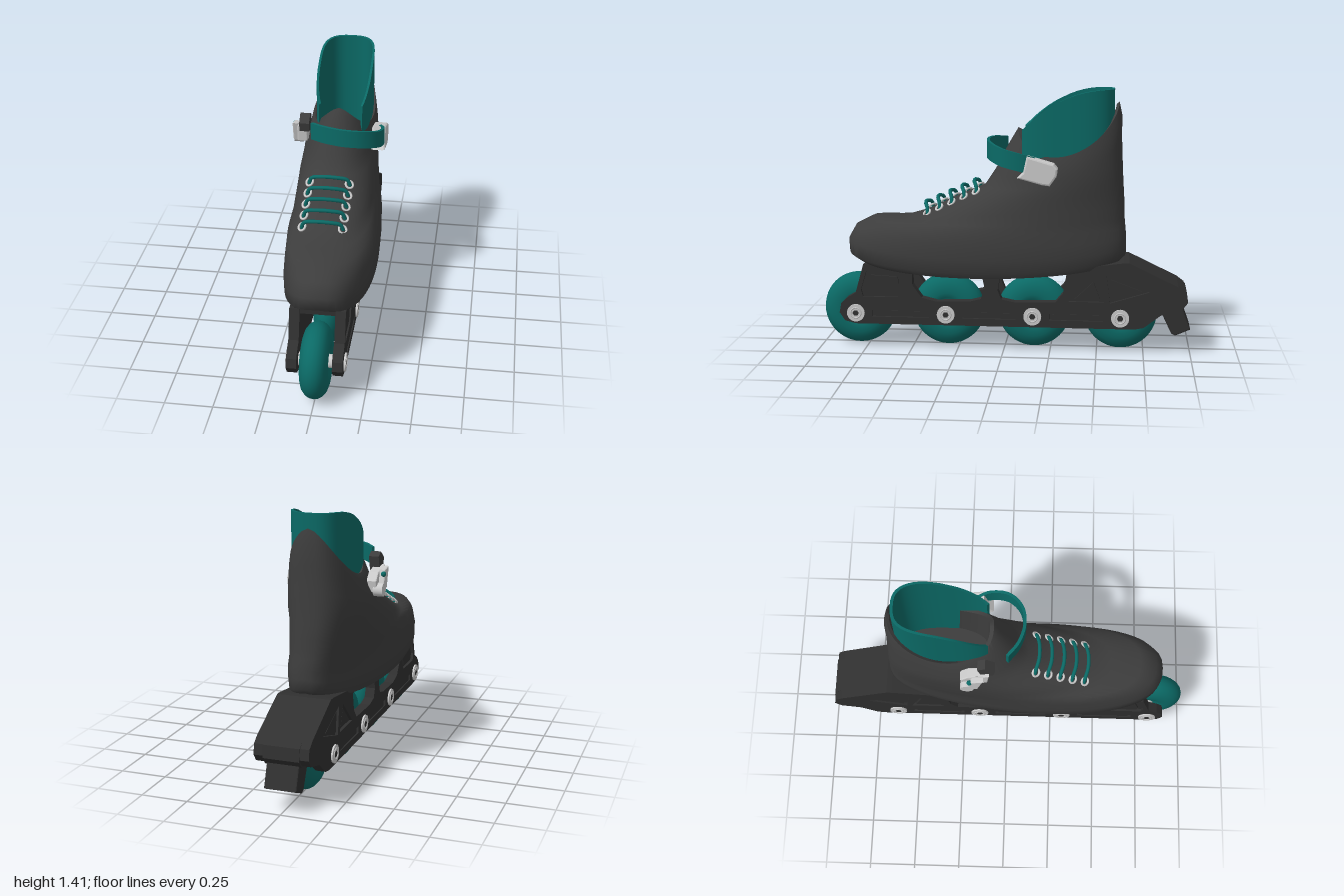
import * as THREE from 'three';
import { toCreasedNormals } from 'three/addons/utils/BufferGeometryUtils.js';

const mat = (color) => new THREE.MeshStandardMaterial({ color, side: THREE.DoubleSide });

// Skin a list of closed rings of points; optionally cap both ends with a fan.
function loft(rings, crease, cap = false) {
  const n = rings[0].length, pos = [], idx = [];
  rings.forEach((r) => r.forEach((p) => pos.push(...p)));
  for (let i = 0; i < rings.length - 1; i++) {
    for (let j = 0; j < n; j++) {
      const a = i * n + j, b = i * n + (j + 1) % n;
      idx.push(a, b, b + n, a, b + n, a + n);
    }
  }
  if (cap) {
    const e = (rings.length - 1) * n;
    for (let j = 1; j < n - 1; j++) idx.push(0, j + 1, j, e, e + j, e + j + 1);
  }
  const g = new THREE.BufferGeometry();
  g.setAttribute('position', new THREE.Float32BufferAttribute(pos, 3));
  g.setIndex(idx);
  return toCreasedNormals(g, crease);
}

// Extrude a side-view outline of [z, y] points from x0 to x1.
function sideExtrude(pts, x0, x1, holes = [], bevel = 0) {
  const v = (list) => list.map(([z, y]) => new THREE.Vector2(-z, y));
  const shape = new THREE.Shape(v(pts));
  holes.forEach((h) => shape.holes.push(new THREE.Path(v(h))));
  const g = new THREE.ExtrudeGeometry(shape, {
    depth: x1 - x0 - 2 * bevel, bevelEnabled: bevel > 0, bevelSize: bevel,
    bevelThickness: bevel, bevelOffset: -bevel, bevelSegments: 2,
  });
  return g.translate(0, 0, x0 + bevel).rotateY(Math.PI / 2);
}

// Shrink an outline towards its centre.
function inset(pts, k) {
  const c = [0, 1].map((i) => pts.reduce((s, p) => s + p[i], 0) / pts.length);
  return pts.map((p) => p.map((q, i) => c[i] + (q - c[i]) * k));
}

export function createModel() {
  const root = new THREE.Group();
  const dark = mat(0x3d3d3d), frameDark = mat(0x303030), teal = mat(0x0b6a66), grey = mat(0xcccccc);
  const add = (name, geo, material, parent = root) => {
    const m = new THREE.Mesh(geo, material);
    m.name = name;
    parent.add(m);
    return m;
  };
  const lerp = THREE.MathUtils.lerp;

  // Boot: tilted sections [front z, front y, back z, back y, front width, back width, centre x, sag]
  const sections = [
    [0.1, 0.44, 0.08, 0.44, 0.001, 0.001, 0, 0],
    [0.80, 0.50, -0.62, 0.50, 0.25, 0.18, 0.01, 0.08],
    [0.845, 0.53, -0.65, 0.53, 0.27, 0.19, 0.01, 0.08],
    [0.85, 0.60, -0.65, 0.58, 0.27, 0.20, 0.01, 0.07],
    [0.81, 0.67, -0.65, 0.63, 0.265, 0.20, 0.01, 0.05],
    [0.72, 0.715, -0.645, 0.68, 0.25, 0.20, 0, 0.03],
    [0.56, 0.71, -0.64, 0.73, 0.235, 0.20, -0.005, 0.02],
    [0.43, 0.745, -0.64, 0.79, 0.225, 0.20, -0.01, 0.01],
    [0.27, 0.82, -0.635, 0.86, 0.21, 0.20, -0.015, 0],
    [0.11, 0.89, -0.63, 0.94, 0.20, 0.20, -0.015, 0.02],
    [0.05, 0.98, -0.625, 1.04, 0.195, 0.195, -0.015, 0.06],
    [0.0, 1.08, -0.62, 1.16, 0.185, 0.185, -0.01, 0.13],
    [-0.04, 1.15, -0.62, 1.27, 0.175, 0.175, -0.01, 0.17],
    [-0.07, 1.20, -0.605, 1.34, 0.16, 0.165, -0.005, 0.20],
    [-0.09, 1.19, -0.59, 1.33, 0.145, 0.148, -0.005, 0.20],
    [-0.10, 0.80, -0.58, 0.80, 0.14, 0.14, 0, 0],
    [-0.33, 0.80, -0.34, 0.80, 0.001, 0.001, 0, 0],
  ];
  const N = 56;
  add('boot', loft(sections.map(([zf, yf, zb, yb, wf, wb, cx, sag]) =>
    Array.from({ length: N }, (_, j) => {
      const t = (j / N) * Math.PI * 2, s = Math.sin(t), u = (1 - Math.cos(t)) / 2, a = Math.abs(s);
      return [cx + Math.sign(s) * Math.pow(a, 0.75) * lerp(wf, wb, u),
        lerp(yf, yb, u) - sag * Math.pow(a, 1.2), lerp(zf, zb, u)];
    })), 1), dark);

  // Liner: upright U-shaped cuff, high at the back and open at the front
  const cuff = [];
  for (let i = 0; i <= 40; i++) {
    const a = lerp(-135, 135, i / 40) * Math.PI / 180, s = Math.sin(a), c = Math.cos(a);
    const at = (w, l) => [Math.sign(s) * Math.abs(s) ** 0.7 * w, -0.31 - Math.sign(c) * Math.abs(c) ** 0.7 * l];
    const [xo, zo] = at(0.147, 0.27), [xi, zi] = at(0.135, 0.255);
    const d = THREE.MathUtils.clamp((-0.1 - zo) / 0.48, 0, 1);
    const top = 1.2 + 0.21 * (1 - (1 - d) ** 2.4);
    cuff.push([[xo, 0.8, zo], [xo, top, zo], [xi, top, zi], [xi, 0.8, zi]]);
  }
  add('liner', loft(cuff, 0.7, true), teal);

  // Ankle strap: flat band along a curve
  const strapPath = new THREE.CatmullRomCurve3([
    [-0.14, 1.09, 0.0], [-0.07, 1.1, 0.055], [0.03, 1.1, 0.085], [0.13, 1.09, 0.07],
    [0.21, 1.065, 0.0], [0.228, 1.04, -0.1], [0.205, 1.02, -0.17]].map((p) => new THREE.Vector3(...p)));
  add('ankleStrap', loft(strapPath.getPoints(36).map((p, i) => {
    const t = strapPath.getTangent(i / 36), ox = -t.z * 0.008, oz = t.x * 0.008, h = 0.047;
    return [[p.x + ox, p.y + h, p.z + oz], [p.x + ox, p.y - h, p.z + oz],
      [p.x - ox, p.y - h, p.z - oz], [p.x - ox, p.y + h, p.z - oz]];
  }), 0.7, true), teal);

  // Left buckle: rounded clasp holding the strap end
  add('leftBuckle', sideExtrude([[-0.13, 1.075], [-0.27, 1.035], [-0.29, 1.01], [-0.285, 0.97],
    [-0.25, 0.92], [-0.21, 0.925], [-0.08, 0.96], [-0.11, 0.99]], 0.165, 0.24, [], 0.01), grey);

  // Right buckle: base, lever, roller, rivet and strap tab
  const buckle = new THREE.Group();
  buckle.name = 'rightBuckle';
  root.add(buckle);
  add('buckleBase', sideExtrude([[-0.09, 1.07], [-0.2, 1.05], [-0.24, 1.01], [-0.23, 0.95],
    [-0.1, 0.98]], -0.235, -0.18, [], 0.006), grey, buckle);
  add('buckleLever', sideExtrude([[-0.12, 1.07], [-0.18, 1.06], [-0.21, 0.96], [-0.15, 0.96]],
    -0.265, -0.23, [], 0.006), grey, buckle);
  const roller = add('buckleRoller', new THREE.CylinderGeometry(0.035, 0.035, 0.05, 20), grey, buckle);
  roller.rotation.z = Math.PI / 2;
  roller.position.set(-0.24, 0.96, -0.205);
  add('buckleRivet', new THREE.SphereGeometry(0.014, 12, 8), teal, buckle).position.set(-0.258, 1.04, -0.19);
  add('buckleTab', sideExtrude([[-0.06, 1.1], [-0.11, 1.14], [-0.15, 1.12], [-0.13, 1.04], [-0.07, 1.05]],
    -0.218, -0.165), dark, buckle);

  // Laces with an eyelet at each end
  for (let i = 0; i < 5; i++) {
    const z = 0.42 - i * 0.066, y = 0.77 + i * 0.03, cx = -0.025;
    const path = new THREE.CatmullRomCurve3([[-0.108, -0.035, -0.01], [-0.095, 0, -0.005], [-0.04, 0.018, 0.01],
      [0.04, 0.018, 0.01], [0.095, 0, -0.005], [0.108, -0.035, -0.01]]
      .map(([a, b, c]) => new THREE.Vector3(cx + a, y + b, z + c)));
    add('lace', new THREE.TubeGeometry(path, 24, 0.01, 8), teal);
    for (const s of [-1, 1]) {
      const ring = add('eyelet', new THREE.TorusGeometry(0.021, 0.006, 8, 18), grey);
      ring.position.set(cx + s * 0.105, y - 0.025, z - 0.005);
      ring.rotation.set(-0.9, s * 0.5, 0);
    }
  }

  // Frame: side plates with arches, plus a raised outer layer with recessed panels
  const wheelZ = [0.8, 0.31, -0.157, -0.625];
  const outline = [[0.8, 0.14], [0.86, 0.155], [0.89, 0.2], [0.88, 0.25], [0.85, 0.28], [0.8, 0.31], [0.755, 0.47],
    [0.5, 0.46], [-0.35, 0.46], [-0.64, 0.5], [-0.67, 0.5], [-0.93, 0.375], [-0.97, 0.345], [-0.98, 0.29],
    [-0.95, 0.25], [-0.84, 0.22], [-0.75, 0.15], [-0.7, 0.14]];
  const arches = [
    [[0.49, 0.43], [0.49, 0.36], [0.44, 0.29], [0.36, 0.27], [0.18, 0.275], [0.12, 0.29], [0.1, 0.35], [0.11, 0.4], [0.14, 0.43]],
    [[0.0, 0.43], [0.02, 0.4], [0.03, 0.34], [0.01, 0.29], [-0.06, 0.275], [-0.28, 0.28], [-0.32, 0.33], [-0.34, 0.43]],
  ];
  const panels = [
    [[0.74, 0.43], [0.54, 0.42], [0.53, 0.37], [0.57, 0.29], [0.76, 0.29], [0.77, 0.33]],
    [[-0.35, 0.285], [-0.54, 0.285], [-0.49, 0.42]],
    [[-0.55, 0.43], [-0.57, 0.28], [-0.78, 0.345]],
    ...[0, 1, 2].map((i) => {
      const a = wheelZ[i] - 0.09, b = wheelZ[i + 1] + 0.09;
      return [[a, 0.18], [b, 0.18], [b, 0.215], [a, 0.215]];
    }),
  ];
  for (const s of [-1, 1]) {
    const slab = (pts, a, b, holes) => sideExtrude(pts, Math.min(s * a, s * b), Math.max(s * a, s * b), holes);
    add('framePlate', slab(outline, 0.09, 0.127, arches), frameDark);
    add('frameOuterLayer', slab(outline, 0.127, 0.143, [...arches, ...panels]), frameDark);
    panels.forEach((p, i) => add('framePanel', slab(inset(p, i < 3 ? 0.72 : 0.88), 0.127, 0.138), frameDark));
  }

  // Cross-members joining the plates, and the heel brake
  add('frontBridge', sideExtrude([[0.75, 0.44], [0.75, 0.49], [0.5, 0.47], [0.5, 0.43]], -0.12, 0.12), frameDark);
  add('middleBridge', sideExtrude([[0.11, 0.41], [0.11, 0.46], [0.02, 0.46], [0.02, 0.41]], -0.1, 0.1), frameDark);
  add('rearBridge', sideExtrude([[-0.35, 0.42], [-0.35, 0.46], [-0.64, 0.5], [-0.67, 0.5], [-0.93, 0.375], [-0.975, 0.345],
    [-0.985, 0.28], [-0.95, 0.24], [-0.84, 0.22], [-0.83, 0.3], [-0.7, 0.42]], -0.095, 0.095), frameDark);
  add('heelBrake', sideExtrude([[-0.84, 0.23], [-0.95, 0.27], [-1.0, 0.13], [-0.92, 0.095], [-0.9, 0.105]],
    -0.085, 0.085, [], 0.006), frameDark);

  // Wheels with axle, bolt heads and hex sockets
  const tyre = [[0.001, -0.055], [0.06, -0.055], [0.075, -0.068], [0.1, -0.072], [0.13, -0.07], [0.16, -0.06], [0.182, -0.042], [0.194, -0.022]];
  const profile = [...tyre, [0.198, 0], ...tyre.map(([r, h]) => [r, -h]).reverse()];
  const cyl = (r, len, x, n) => new THREE.CylinderGeometry(r, r, len, n).rotateZ(Math.PI / 2).translate(x, 0, 0);
  for (const z of wheelZ) {
    const wheel = new THREE.Group();
    wheel.name = 'wheelAssembly';
    wheel.position.set(0, 0.2, z);
    root.add(wheel);
    add('wheel', new THREE.LatheGeometry(profile.map(([r, h]) => new THREE.Vector2(r, h)), 48).rotateZ(Math.PI / 2), teal, wheel);
    add('axle', cyl(0.035, 0.2, 0, 20), grey, wheel);
    for (const s of [-1, 1]) {
      add('boltHead', cyl(0.048, 0.03, s * 0.137, 28), grey, wheel);
      add('boltRing', new THREE.TorusGeometry(0.028, 0.004, 6, 24).rotateY(Math.PI / 2).translate(s * 0.152, 0, 0), grey, wheel);
      add('boltSocket', cyl(0.017, 0.004, s * 0.152, 6), frameDark, wheel);
    }
  }
  return root;
}
